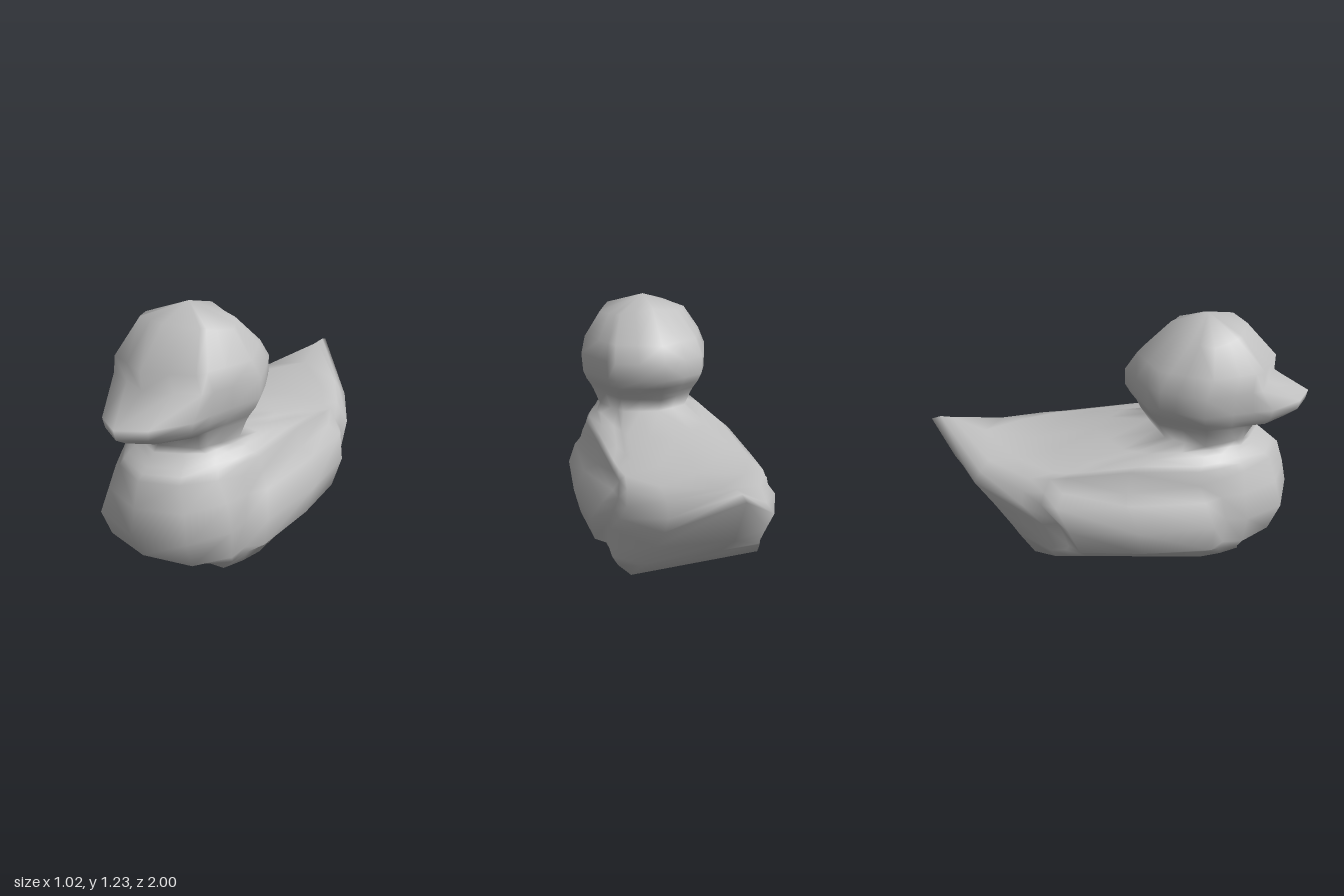
import * as THREE from 'three';

// Half outlines from front to back: [position along length, width fraction]
const HULL = [[0, 0], [0.04, 0.62], [0.145, 0.91], [0.205, 0.92], [0.24, 1], [0.45, 1], [0.64, 1.02], [0.675, 1.02], [0.715, 1.05], [0.86, 0.7], [1, 0]];
const CHEST = [[0, 0], [0.04, 0.45], [0.12, 0.73], [0.19, 0.88], [0.25, 0.97], [0.45, 1], [0.63, 0.99], [0.68, 0.98], [0.74, 0.95], [0.87, 0.62], [1, 0]];
const BOX = [[0, 0], [0, 0.5], [0.01, 0.8], [0.1, 0.92], [0.2, 1], [0.5, 1], [0.75, 1], [0.82, 1], [0.9, 1], [1, 0.9], [1, 0]];
const OCTAGON = [[0, 0], [0.07, 0.35], [0.13, 0.67], [0.2, 0.74], [0.31, 0.85], [0.5, 1], [0.68, 0.85], [0.78, 0.75], [0.86, 0.67], [0.93, 0.35], [1, 0]];
const WING = [0, 0, 0, 0, 0.5, 1, 0.8, 0, 0, 0, 0]; // sideways bulge per station
const BEAK = [1, 0.92, 0.35, 0.1, 0, 0, 0, 0, 0, 0, 0]; // forward pull per station
const HALF = HULL.length - 1;
const SIDES = HALF * 2;
const { lerp, smoothstep } = THREE.MathUtils;

// Rings from the bottom up: heights at front, side and back, front and back z, half width.
// blend moves the outline from the hull shape to another one; sag lowers the rear flanks
const ring = (yf, ym, yb, zf, zb, w, extra = {}) =>
  ({ yf, ym, yb, zf, zb, w, wing: 0, beak: 0, blend: 0, to: OCTAGON, sag: 0, ...extra });

const bodyRings = [
  ring(0, 0, 0, 0.66, -0.44, 0.385, { to: BOX, blend: 1 }),
  ring(0.045, 0.06, 0.16, 0.765, -0.64, 0.405, { to: BOX, blend: 0.4 }),
  ring(0.09, 0.09, 0.25, 0.87, -0.75, 0.405, { to: BOX, blend: 0.12, wing: 0.07 }),
  ring(0.24, 0.24, 0.385, 0.94, -0.9, 0.41, { wing: 0.1 }),
  ring(0.37, 0.375, 0.62, 0.91, -1, 0.41, { to: CHEST, blend: 0.5, wing: 0.05, sag: 0.03 }),
  ring(0.49, 0.4, 0.635, 0.87, -0.95, 0.39, { to: CHEST, blend: 1 }),
  ring(0.514, 0.52, 0.63, 0.84, -0.89, 0.375, { to: CHEST, blend: 1, sag: 0.05 }),
  ring(0.538, 0.54, 0.55, 0.81, -0.72, 0.35, { to: CHEST, blend: 1, sag: 0.05 }),
  ring(0.562, 0.565, 0.505, 0.78, -0.44, 0.322, { blend: 0.6, sag: 0.05 }),
  ring(0.586, 0.59, 0.56, 0.75, -0.12, 0.295, { blend: 0.8, sag: 0.03 }),
  ring(0.61, 0.61, 0.62, 0.72, 0.17, 0.27, { blend: 1 }),
];
const headRings = [
  ring(0.7, 0.7, 0.7, 0.77, 0.12, 0.305, { blend: 1 }),
  ring(0.71, 0.73, 0.74, 0.78, 0.1, 0.32, { blend: 1, beak: 0.15 }),
  ring(0.75, 0.77, 0.78, 0.79, 0.07, 0.345, { blend: 1, beak: 0.2 }),
  ring(0.8, 0.82, 0.83, 0.8, 0.04, 0.365, { blend: 1, beak: 0.2 }),
  ring(0.91, 0.92, 0.92, 0.81, 0.04, 0.37, { blend: 1 }),
  ring(1, 1.01, 1.01, 0.81, 0.1, 0.34, { blend: 1 }),
  ring(1.17, 1.14, 1.18, 0.65, 0.27, 0.25, { blend: 1 }),
];

function ringPoint(r, i) {
  const k = i <= HALF ? i : SIDES - i; // mirrored station
  const side = i <= HALF ? 1 : -1;
  const t = lerp(HULL[k][0], r.to[k][0], r.blend);
  const width = lerp(HULL[k][1], r.to[k][1], r.blend);
  const x = side * (r.w * width + r.wing * WING[k]);
  const z = lerp(r.zf, r.zb, t) + r.beak * BEAK[k];
  // Heights stay level along the flanks and rise sharply only at the tail
  const u = Math.max(0, 2 * t - 1);
  const y = t < 0.5
    ? lerp(r.yf, r.ym, smoothstep(t, 0, 0.5))
    : lerp(r.ym, r.yb, u ** 6) - r.sag * Math.sin(Math.PI * u);
  return [x, y, z];
}

export function createModel() {
  const model = new THREE.Group();
  model.name = 'duck';
  const grey = new THREE.MeshStandardMaterial({ color: 0xc0c0c0 });
  grey.name = 'plain grey';

  // One continuous skin, so the normals flow across the neck
  const rings = [...bodyRings, ...headRings];
  const positions = rings.flatMap(r => Array.from({ length: SIDES }, (_, i) => ringPoint(r, i)).flat());
  const bottom = rings.length * SIDES;
  const crown = bottom + 1;
  positions.push(0, 0, 0.1, 0, 1.23, 0.45);

  const bodyIndex = [];
  const headIndex = [];
  const last = (rings.length - 1) * SIDES;
  for (let i = 0; i < SIDES; i++) {
    const j = (i + 1) % SIDES;
    bodyIndex.push(bottom, j, i);
    for (let n = 0; n < rings.length - 1; n++) {
      const low = n * SIDES;
      const high = low + SIDES;
      const target = n < bodyRings.length - 1 ? bodyIndex : headIndex;
      // Mirror the diagonal so both halves match
      if (i < HALF) target.push(low + i, low + j, high + j, low + i, high + j, high + i);
      else target.push(low + i, low + j, high + i, low + j, high + j, high + i);
    }
    headIndex.push(last + i, last + j, crown);
  }

  const skin = new THREE.BufferGeometry();
  skin.setAttribute('position', new THREE.Float32BufferAttribute(positions, 3));
  skin.setIndex([...bodyIndex, ...headIndex]);
  skin.computeVertexNormals();

  // Body with wings and tail, then head with beak, cut from the same skin
  const addPart = (name, index) => {
    const geometry = skin.clone();
    geometry.setIndex(index);
    const mesh = new THREE.Mesh(geometry, grey);
    mesh.name = name;
    model.add(mesh);
  };
  addPart('bodyWingsAndTail', bodyIndex);
  addPart('headAndBeak', headIndex);
  return model;
}
